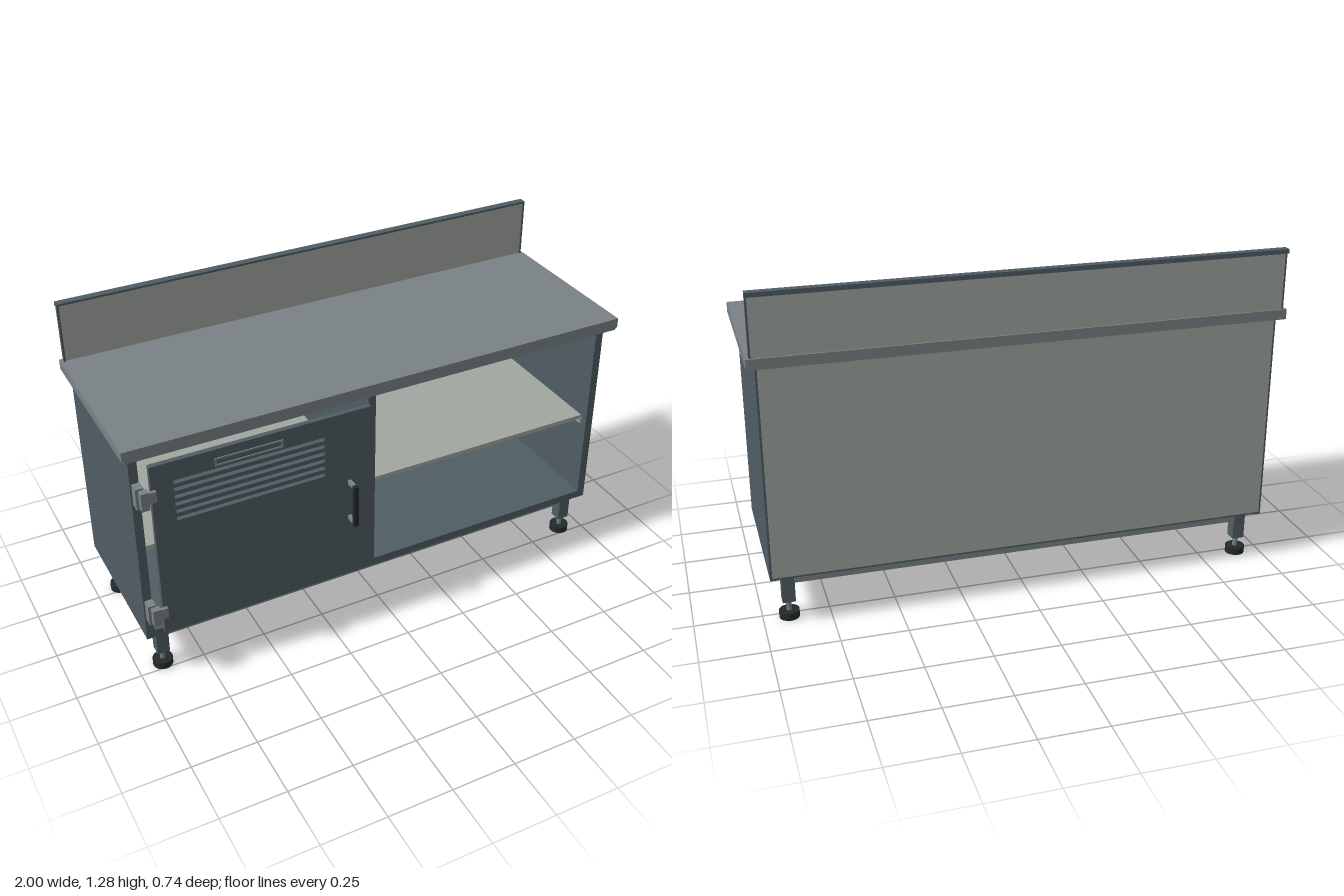
import * as THREE from 'three';

const mat = (name, color) => {
  const m = new THREE.MeshStandardMaterial({ color });
  m.name = name;
  return m;
};

export function createModel() {
  const slate = mat('slate paint', 0x4f5d64);
  const beige = mat('pale grey paint', 0xa1a7a0);
  const steel = mat('steel grey', 0x7a8285);
  const black = mat('black rubber', 0x222a2b);

  const model = new THREE.Group();
  model.name = 'workbench';

  const group = (name) => {
    const g = new THREE.Group();
    g.name = name;
    model.add(g);
    return g;
  };
  // Box given by its limits on each axis
  const box = (parent, name, m, [x0, x1], [y0, y1], [z0, z1]) => {
    const mesh = new THREE.Mesh(new THREE.BoxGeometry(x1 - x0, y1 - y0, z1 - z0), m);
    mesh.position.set((x0 + x1) / 2, (y0 + y1) / 2, (z0 + z1) / 2);
    mesh.name = name;
    parent.add(mesh);
    return mesh;
  };

  // Cabinet carcass
  const body = group('cabinet');
  const depth = [-0.34, 0.275];
  box(body, 'leftSide', slate, [0.938, 0.97], [0.19, 1.035], depth);
  box(body, 'rightSide', slate, [-0.97, -0.938], [0.19, 1.035], depth);
  box(body, 'divider', slate, [-0.062, -0.032], [0.222, 1.035], [-0.33, 0.274]);
  box(body, 'floor', slate, [-0.938, 0.938], [0.19, 0.222], [-0.336, 0.275]);
  box(body, 'topRail', slate, [-0.938, 0.938], [0.981, 1.035], [0.245, 0.275]);
  box(body, 'backPanel', beige, [-0.962, 0.962], [0.2, 1.035], [-0.342, -0.328]);

  // Shelves resting on side brackets
  const shelves = group('shelves');
  for (const [x0, x1] of [[-0.938, -0.062], [-0.032, 0.938]]) {
    box(shelves, 'shelf', beige, [x0 + 0.008, x1 - 0.008], [0.572, 0.59], [-0.32, 0.25]);
    box(shelves, 'shelfBracket', beige, [x0, x0 + 0.012], [0.55, 0.572], [-0.31, 0.25]);
    box(shelves, 'shelfBracket', beige, [x1 - 0.012, x1], [0.55, 0.572], [-0.31, 0.25]);
  }

  // Worktop: folded sheet with a skirt all round
  const top = group('worktop');
  box(top, 'topSheet', steel, [-1, 1], [1.035, 1.047], [-0.363, 0.318]);
  for (const s of [-1, 1])
    box(top, 'sideSkirt', steel, s < 0 ? [-1, -0.992] : [0.992, 1], [1.008, 1.035], [-0.363, 0.318]);
  box(top, 'frontSkirt', steel, [-0.992, 0.992], [1, 1.035], [0.31, 0.318]);
  box(top, 'frontReturn', steel, [-0.992, 0.992], [1, 1.005], [0.287, 0.31]);
  box(top, 'backSkirt', steel, [-0.992, 0.992], [1.008, 1.035], [-0.363, -0.355]);

  // Splashback with folded edges
  const splash = group('splashback');
  box(splash, 'splashPanel', beige, [-0.981, 0.981], [1.047, 1.272], [-0.356, -0.344]);
  box(splash, 'splashCap', slate, [-0.988, 0.988], [1.272, 1.28], [-0.368, -0.338]);
  box(splash, 'splashCapLip', slate, [-0.988, 0.988], [1.263, 1.272], [-0.368, -0.363]);
  for (const x of [-0.988, 0.981])
    box(splash, 'splashEdge', slate, [x, x + 0.007], [1.047, 1.272], [-0.356, -0.338]);

  // Door with ventilation slots
  const door = group('door');
  const panel = new THREE.Shape();
  const rect = (path, x0, x1, y0, y1) =>
    path.moveTo(x0, y0).lineTo(x1, y0).lineTo(x1, y1).lineTo(x0, y1).closePath();
  rect(panel, -0.91, -0.072, 0.229, 0.957);
  for (let i = 0; i < 6; i++) {
    const y = 0.872 - i * 0.031;
    const slot = new THREE.Path();
    rect(slot, -0.828, -0.258, y - 0.007, y + 0.007);
    panel.holes.push(slot);
  }
  const doorPanel = new THREE.Mesh(
    new THREE.ExtrudeGeometry(panel, { depth: 0.02, bevelEnabled: false }), slate);
  doorPanel.position.z = 0.292;
  doorPanel.name = 'doorPanel';
  door.add(doorPanel);

  // Label holder frame
  const label = new THREE.Shape();
  rect(label, -0.676, -0.42, 0.89, 0.922);
  const opening = new THREE.Path();
  rect(opening, -0.67, -0.426, 0.896, 0.916);
  label.holes.push(opening);
  const frame = new THREE.Mesh(
    new THREE.ExtrudeGeometry(label, { depth: 0.004, bevelEnabled: false }), steel);
  frame.position.z = 0.312;
  frame.name = 'labelHolder';
  door.add(frame);

  // Handle
  const handle = group('handle');
  box(handle, 'grip', black, [-0.168, -0.15], [0.486, 0.664], [0.353, 0.37]);
  for (const y of [0.487, 0.647])
    box(handle, 'handlePost', steel, [-0.166, -0.152], [y, y + 0.016], [0.312, 0.353]);

  // Hinges
  for (const y of [0.841, 0.327]) {
    const hinge = group('hinge');
    box(hinge, 'hingePlate', steel, [-0.965, -0.935], [y - 0.043, y + 0.043], [0.275, 0.313]);
    box(hinge, 'hingeKnuckle', steel, [-0.955, -0.925], [y - 0.036, y + 0.036], [0.313, 0.338]);
    box(hinge, 'hingeTab', steel, [-0.925, -0.895], [y - 0.022, y + 0.022], [0.312, 0.325]);
  }

  // Base rails between the legs
  const base = group('base');
  box(base, 'frontRail', steel, [-0.88, 0.88], [0.15, 0.19], [0.2, 0.24]);
  box(base, 'backRail', steel, [-0.88, 0.88], [0.15, 0.19], [-0.302, -0.262]);

  // Legs with adjustable feet
  const cylinder = (parent, name, m, r, y0, y1, x, z) => {
    const mesh = new THREE.Mesh(new THREE.CylinderGeometry(r, r, y1 - y0, 24), m);
    mesh.position.set(x, (y0 + y1) / 2, z);
    mesh.name = name;
    parent.add(mesh);
  };
  for (const x of [-0.903, 0.903])
    for (const z of [0.218, -0.275]) {
      const leg = group('leg');
      box(leg, 'legTube', slate, [x - 0.024, x + 0.024], [0.07, 0.19], [z - 0.024, z + 0.024]);
      cylinder(leg, 'footStem', steel, 0.01, 0.027, 0.07, x, z);
      cylinder(leg, 'footPad', black, 0.038, 0, 0.028, x, z);
    }

  return model;
}
